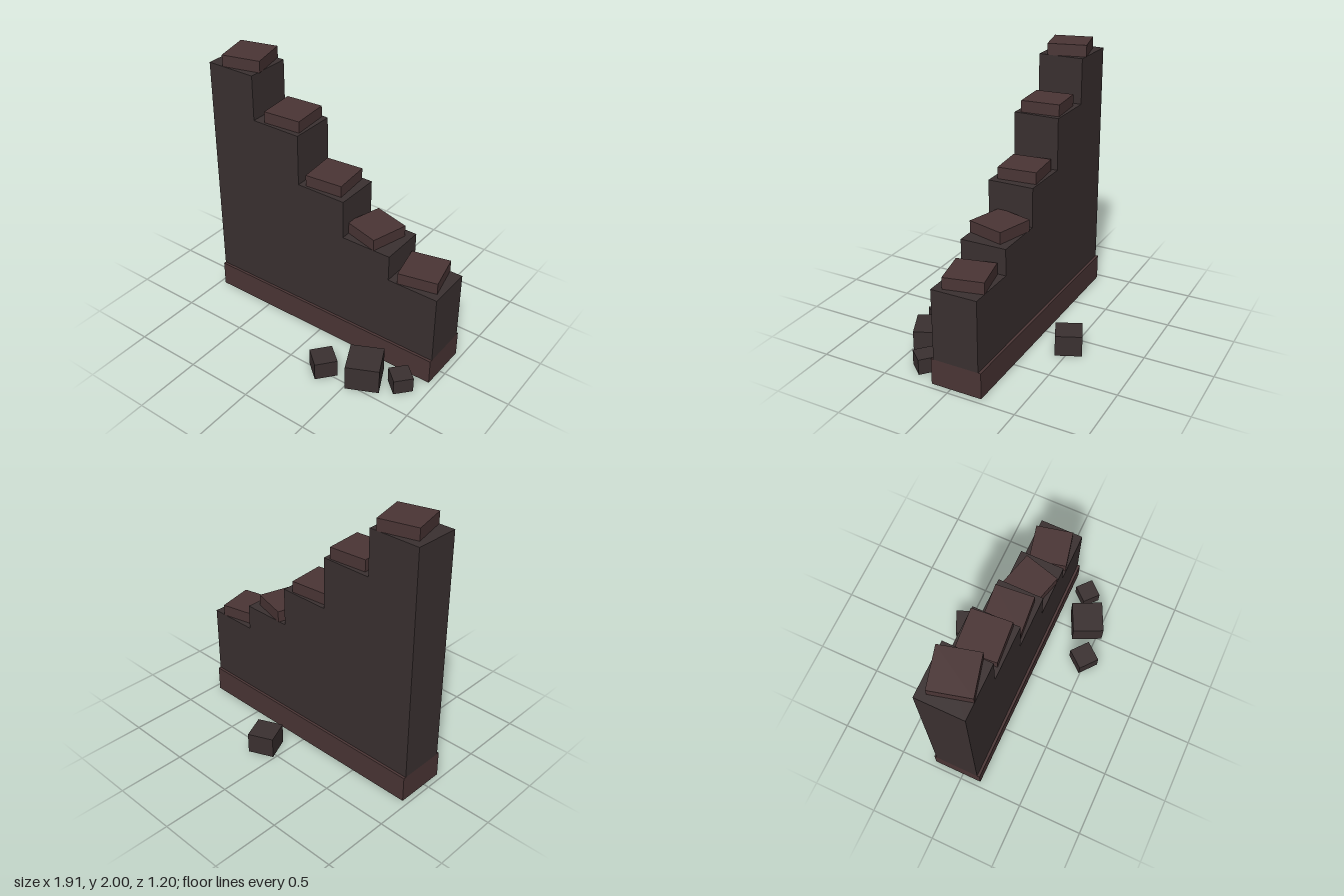
import * as THREE from 'three';

const stone = new THREE.MeshStandardMaterial({ color: 0x3a3030, side: THREE.DoubleSide });
stone.name = 'dark stone';
const trim = new THREE.MeshStandardMaterial({ color: 0x4a3535, side: THREE.DoubleSide });
trim.name = 'brown trim stone';

// Box without its bottom face, standing on y
function openBlock(name, material, [w, h, d], [x, y, z], turn = 0) {
  const geometry = new THREE.BoxGeometry(w, h, d);
  const index = Array.from(geometry.index.array);
  index.splice(18, 6);
  geometry.setIndex(index);
  geometry.clearGroups();
  geometry.translate(0, h / 2, 0);
  const mesh = new THREE.Mesh(geometry, material);
  mesh.name = name;
  mesh.position.set(x, y, z);
  mesh.rotation.y = turn;
  return mesh;
}

export function createModel() {
  const model = new THREE.Group();
  model.name = 'ruinedWall';
  const wallZ = -0.042, baseTop = 0.195, left = -0.96, step = 0.383;

  // Hollow plinth
  model.add(openBlock('base', trim, [5 * step, baseTop, 0.38], [left + 2.5 * step, 0, wallZ]));

  // Broken wall segments, each with a loose cap stone: [top, cap x, cap turn]
  const segments = [
    [1.915, -0.737, 0.25],
    [1.58, -0.366, 0.08],
    [1.2, -0.014, 0.09],
    [0.912, 0.347, -0.27],
    [0.72, 0.75, 0.22],
  ];
  segments.forEach(([top, capX, turn], i) => {
    const x = left + (i + 0.5) * step;
    model.add(openBlock('wallSegment' + (i + 1), stone, [step, top - baseTop, 0.34], [x, baseTop, wallZ]));
    model.add(openBlock('capStone' + (i + 1), trim, [0.285, 0.085, 0.285], [capX, top, -0.045], turn));
  });

  // Fallen rubble: [x, z, size, turn]
  const rubble = [
    [0.14, -0.48, 0.192, 0.42],
    [0.57, 0.383, 0.241, 0.445],
    [0.282, 0.48, 0.165, 0.88],
    [0.81, 0.288, 0.143, 0.85],
  ];
  rubble.forEach(([x, z, size, turn], i) => {
    model.add(openBlock('rubble' + (i + 1), stone, [size, size * 0.81, size], [x, 0, z], turn));
  });
  return model;
}
